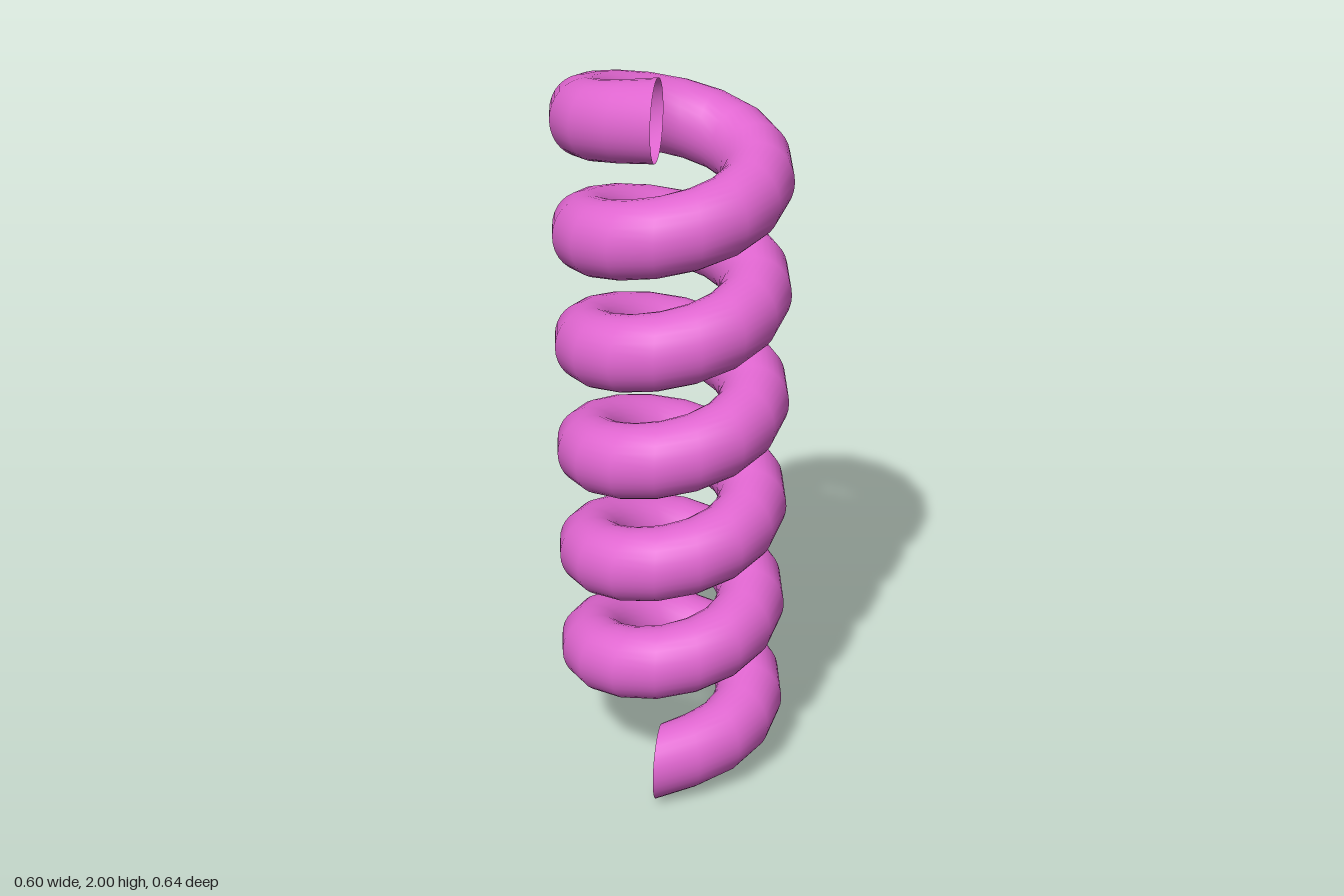
import * as THREE from 'three';

const TURNS = 6, STEPS = 8, PITCH = 0.3; // control points per turn
const COIL = 0.235, WIRE = 0.1, SIDES = 32, AXIS_Z = -0.017;
const LAST = TURNS * STEPS;

// unit control point on the circle; the path runs straight on past either end
function control(i) {
  if (i < 0) return control(0).multiplyScalar(2).sub(control(1));
  if (i > LAST) return control(LAST).multiplyScalar(2).sub(control(LAST - 1));
  const a = (i / STEPS) * Math.PI * 2;
  return new THREE.Vector2(Math.sin(a), Math.cos(a));
}

// cubic B-spline at a control point (even k) or halfway to the next (odd k)
function pathPoint(k) {
  const i = Math.floor(k / 2);
  const weights = k % 2 ? [1 / 48, 23 / 48, 23 / 48, 1 / 48] : [1 / 6, 4 / 6, 1 / 6];
  const p = new THREE.Vector2();
  weights.forEach((w, n) => p.addScaledVector(control(i - 1 + n), w));
  return p;
}

// open-ended helical tube whose rings stand upright
function coilGeometry() {
  const positions = [], index = [], rings = LAST * 2;
  for (let k = 0; k <= rings; k++) {
    const dir = pathPoint(k);
    const y = WIRE + (k / rings) * PITCH * TURNS;
    for (let j = 0; j < SIDES; j++) {
      const a = (j / SIDES) * Math.PI * 2;
      const r = COIL + WIRE * Math.cos(a);
      positions.push(dir.x * r, y + WIRE * Math.sin(a), dir.y * r + AXIS_Z);
      if (k < rings) {
        const next = (j + 1) % SIDES;
        const p = k * SIDES + j, q = k * SIDES + next;
        index.push(p, p + SIDES, q, p + SIDES, q + SIDES, q);
      }
    }
  }
  const g = new THREE.BufferGeometry();
  g.setAttribute('position', new THREE.Float32BufferAttribute(positions, 3));
  g.setIndex(index);
  g.computeVertexNormals();
  return g;
}

export function createModel() {
  const group = new THREE.Group();
  group.name = 'spring';
  const material = new THREE.MeshStandardMaterial({ color: 0xe066d0, side: THREE.DoubleSide });
  const coil = new THREE.Mesh(coilGeometry(), material);
  coil.name = 'coil';
  group.add(coil);
  return group;
}
